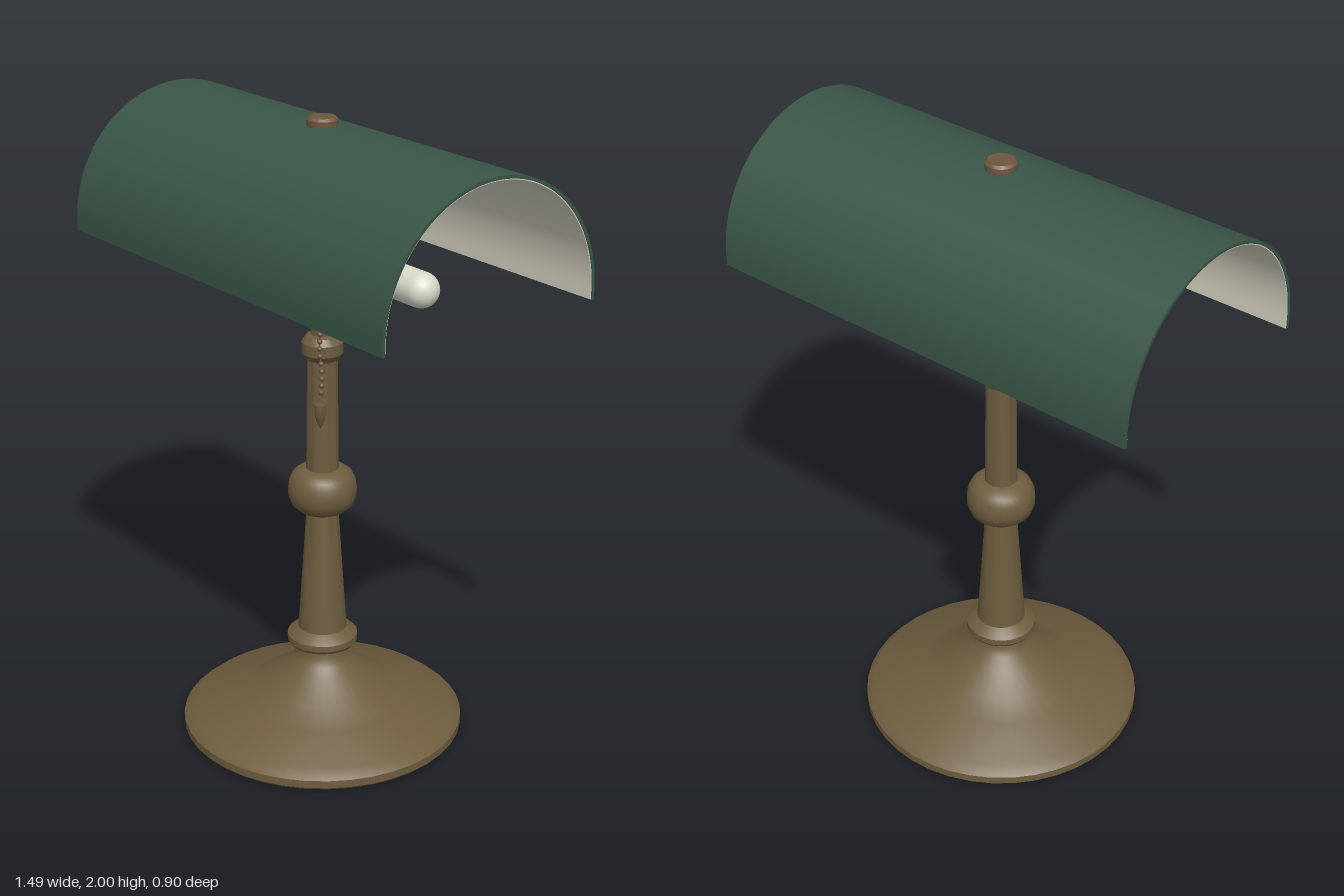
import * as THREE from 'three';
import { toCreasedNormals } from 'three/addons/utils/BufferGeometryUtils.js';

const flat = (name, color, side = THREE.FrontSide) => {
  const m = new THREE.MeshStandardMaterial({ color, side });
  m.name = name;
  return m;
};

// Solid of revolution about y from [radius, y] pairs, sharp at strong edges
const turned = (pairs, segments = 32) => toCreasedNormals(
  new THREE.LatheGeometry(pairs.map(([r, y]) => new THREE.Vector2(r, y)), segments), 0.6);

const AXIS_Y = 1.587; // height of the bulb and of the shade's arc centre

// Arched band between two radii, with short straight legs, running along x
function arch(outer, inner, halfLength, bottom) {
  const s = new THREE.Shape();
  s.moveTo(outer, bottom);
  s.lineTo(outer, AXIS_Y);
  s.absarc(0, AXIS_Y, outer, 0, Math.PI, false);
  s.lineTo(-outer, bottom);
  s.lineTo(-inner, bottom);
  s.lineTo(-inner, AXIS_Y);
  s.absarc(0, AXIS_Y, inner, Math.PI, 0, true);
  s.lineTo(inner, bottom);
  s.closePath();
  const g = new THREE.ExtrudeGeometry(s, { depth: halfLength * 2, bevelEnabled: false, curveSegments: 48 });
  g.translate(0, 0, -halfLength).rotateY(Math.PI / 2);
  return toCreasedNormals(g, 0.6);
}

export function createModel() {
  const lamp = new THREE.Group();
  lamp.name = 'deskLamp';

  const brass = flat('agedBrass', 0x6e5d3f, THREE.DoubleSide);
  const bronze = flat('bronze', 0x6f573f);
  const green = flat('shadeGreen', 0x3a5647);
  const cream = flat('liningCream', 0xd2d0bf);
  const glass = flat('bulbWhite', 0xd9dac9);

  const add = (name, geometry, material, parent = lamp) => {
    const mesh = new THREE.Mesh(geometry, material);
    mesh.name = name;
    parent.add(mesh);
    return mesh;
  };

  // Hollow flared foot
  add('base', turned([
    [0.44, 0.0], [0.45, 0.01], [0.45, 0.035], [0.42, 0.06], [0.275, 0.102],
    [0.2, 0.15], [0.125, 0.203], [0.095, 0.232], [0.08, 0.255], [0.08, 0.29],
  ], 40), brass);

  // Stem with its rings
  add('lowerRing', turned([
    [0.078, 0.283], [0.105, 0.288], [0.112, 0.298], [0.112, 0.318], [0.102, 0.327], [0.078, 0.343],
  ]), brass);
  add('taperedStem', turned([[0.078, 0.335], [0.07, 0.45], [0.05, 0.76]]), brass);
  add('knob', turned([
    [0.05, 0.748], [0.075, 0.753], [0.097, 0.772], [0.107, 0.8], [0.108, 0.822],
    [0.105, 0.848], [0.094, 0.872], [0.075, 0.887], [0.05, 0.892],
  ]), brass);
  add('middleStem', turned([[0.051, 0.885], [0.047, 1.26]]), brass);
  add('collar', turned([
    [0.045, 1.248], [0.064, 1.273], [0.064, 1.308], [0.05, 1.328], [0.035, 1.333],
  ]), brass);
  add('upperStem', turned([[0.036, 1.325], [0.034, 1.53]]), brass);

  // Barrel socket gripping the bulb
  const socket = turned([
    [0.054, -0.088], [0.064, -0.09], [0.074, -0.084], [0.078, -0.066],
    [0.078, 0.066], [0.074, 0.084], [0.064, 0.09], [0.054, 0.088],
  ]);
  add('socket', socket.rotateZ(Math.PI / 2), brass).position.y = AXIS_Y;

  // Tube bulb along x
  const bulb = new THREE.CapsuleGeometry(0.053, 0.9, 8, 24).rotateZ(Math.PI / 2);
  add('bulb', bulb, glass).position.y = AXIS_Y;

  // Rod and cap that hold the shade
  add('shadeRod', new THREE.CylinderGeometry(0.015, 0.015, 0.33, 16), brass).position.y = 1.81;
  add('shadeCap', turned([
    [0, 1.962], [0.04, 1.965], [0.047, 1.975], [0.047, 1.992], [0.04, 2.0], [0, 2.0],
  ], 24), bronze);

  // Half-round shade with pale lining
  add('shade', arch(0.39, 0.38, 0.745, 1.555), green);
  add('shadeLining', arch(0.3805, 0.377, 0.743, 1.557), cream);

  // Beaded pull chain hanging from the socket
  const chain = new THREE.Group();
  chain.name = 'pullChain';
  chain.position.z = 0.068;
  lamp.add(chain);
  const path = new THREE.CatmullRomCurve3([
    [0.07, 1.545], [0.085, 1.49], [0.078, 1.4], [0.072, 1.32], [0.084, 1.24], [0.08, 1.18],
  ].map(([x, y]) => new THREE.Vector3(x, y, 0)));
  const bead = new THREE.SphereGeometry(0.0085, 8, 6);
  path.getSpacedPoints(16).forEach((p) => add('chainBead', bead, bronze, chain).position.copy(p));
  add('chainCord', new THREE.TubeGeometry(path, 24, 0.002, 5), bronze, chain);
  add('pullWeight', turned([
    [0, 1.06], [0.012, 1.085], [0.019, 1.115], [0.017, 1.14], [0, 1.144],
  ], 12), bronze, chain).position.x = 0.076;

  return lamp;
}
